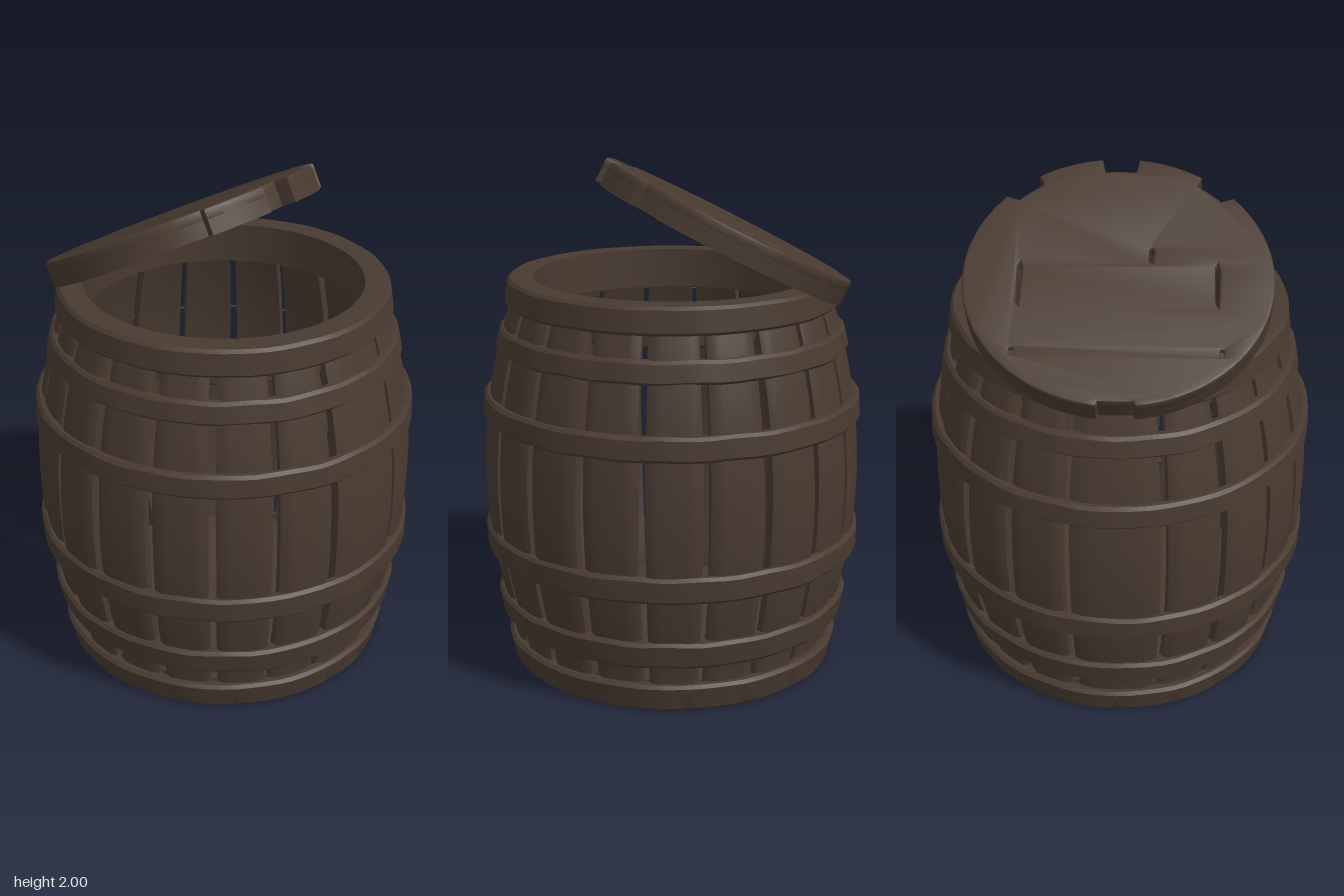
import * as THREE from 'three';
import { toCreasedNormals } from 'three/addons/utils/BufferGeometryUtils.js';

const rad = THREE.MathUtils.degToRad;
const wood = new THREE.MeshStandardMaterial({ color: 0x483a30 });
wood.name = 'dark weathered wood';

// bulging outer radius of the barrel wall at height y, straight near the floor
const wallRadius = (y) => Math.max(0.742 - 0.25 * (y - 0.78) ** 2, y < 0.2 ? 0.638 : 0);

function addMesh(parent, geometry, name) {
  const mesh = new THREE.Mesh(geometry, wood);
  mesh.name = name;
  parent.add(mesh);
  return mesh;
}

// one curved plank between two angles, with softened long edges
function staveGeometry(from, to, index) {
  const bottom = 0.008, top = 1.53, thick = 0.048;
  const g = new THREE.BoxGeometry(1, 1, 1, 8, 18, 1);
  const p = g.attributes.position;
  const bump = 0.003 * Math.sin(index * 2.7);
  for (let i = 0; i < p.count; i++) {
    const u = p.getX(i), y = bottom + (p.getY(i) + 0.5) * (top - bottom), w = p.getZ(i);
    const a = (from + to) / 2 + u * (to - from - rad(2.4 + 0.2 * Math.sin(y * 9 + index)));
    const edge = Math.abs(u) > 0.45 ? 0.012 : 0;
    const r = wallRadius(y) + bump - (w > 0 ? edge : thick);
    p.setXYZ(i, Math.sin(a) * r, y, Math.cos(a) * r);
  }
  g.computeVertexNormals();
  return g;
}

// bevelled band, slightly uneven as if hand cut; rims also get an inner wall
function hoopGeometry(y0, y1, r0, r1, inner, hasInnerWall, seed) {
  const b = 0.012;
  const profile = [[inner, y0], [r0 - b, y0], [r0, y0 + b], [r1, y1 - b], [r1 - b, y1], [inner, y1]];
  if (hasInnerWall) profile.push([inner, y0]);
  const g = new THREE.LatheGeometry(profile.map(([r, y]) => new THREE.Vector2(r, y)), 72);
  const p = g.attributes.position;
  for (let i = 0; i < p.count; i++) {
    const x = p.getX(i), y = p.getY(i), z = p.getZ(i), a = Math.atan2(x, z);
    const r = Math.hypot(x, z);
    if (r < inner + 0.005) continue;
    const n = Math.sin(a * 11 + seed) * 0.6 + Math.sin(a * 19 + seed * 3 + y * 40) * 0.4;
    const k = 1 + (0.003 * n) / r;
    const lift = hasInnerWall ? 0 : 0.002 * Math.sin(a * 17 + seed * 2);
    p.setXYZ(i, x * k, y + lift, z * k);
  }
  return toCreasedNormals(g, rad(30));
}

// narrow pointed hole
function slit(x, y, halfWidth, halfLength) {
  return new THREE.Path([
    [x - halfWidth * 0.4, y - halfLength], [x + halfWidth, y - halfLength * 0.8],
    [x + halfWidth, y + halfLength * 0.8], [x, y + halfLength], [x - halfWidth, y + halfLength * 0.7],
  ].map(([px, py]) => new THREE.Vector2(px, py)));
}

// extrude a plan shape (shape y becomes z) downwards from the given height
function slab(shape, depth, topY, bevel = 0) {
  const g = new THREE.ExtrudeGeometry(shape, {
    depth: depth - 2 * bevel, curveSegments: 48, bevelEnabled: bevel > 0,
    bevelSize: bevel, bevelThickness: bevel, bevelOffset: -bevel, bevelSegments: 2,
  });
  g.rotateX(Math.PI / 2).translate(0, topY - bevel, 0);
  return toCreasedNormals(g, rad(35));
}

// lid outline: oval with chipped notches along the front and one at the back
function lidOutline() {
  const spans = [
    [7, 32.5, 1], [33.5, 46, 0.92], [48, 173, 1], [173.5, 186.5, 0.965],
    [187, 312, 1], [314, 326.5, 0.92], [327.5, 353, 1], [353.5, 366.5, 0.89],
  ];
  const points = [];
  for (const [from, to, scale] of spans) {
    const steps = Math.ceil((to - from) / 4);
    for (let i = 0; i <= steps; i++) {
      const a = rad(from + ((to - from) * i) / steps);
      points.push(new THREE.Vector2(Math.sin(a) * 0.565 * scale, Math.cos(a) * 0.53 * scale));
    }
  }
  return new THREE.Shape(points);
}

export function createModel() {
  const model = new THREE.Group();
  model.name = 'openBarrel';

  // staves: one wide plank at front and back, eight narrow ones on each side
  const staves = new THREE.Group();
  staves.name = 'staves';
  model.add(staves);
  const seams = [];
  for (const half of [0, 180]) {
    for (let i = 0; i <= 8; i++) seams.push(rad(half + 14.6 + i * 18.85));
  }
  seams.forEach((from, i) => {
    const to = i + 1 < seams.length ? seams[i + 1] : seams[0] + Math.PI * 2;
    addMesh(staves, staveGeometry(from, to, i), 'stave');
  });

  // hoops: bottom, top, outer radii, inner radius, inner wall
  const hoops = [
    ['bottomRim', 0, 0.11, 0.648, 0.668, 0.628, true],
    ['lowerHoop', 0.19, 0.295, 0.688, 0.703, 0.65, false],
    ['lowerBellyHoop', 0.47, 0.572, 0.745, 0.748, 0.716, false],
    ['upperBellyHoop', 1.01, 1.105, 0.748, 0.742, 0.712, false],
    ['upperHoop', 1.28, 1.368, 0.69, 0.676, 0.645, false],
    ['topRim', 1.45, 1.555, 0.65, 0.64, 0.54, true],
    ['innerLip', 1.395, 1.5, 0.6, 0.6, 0.54, true],
  ];
  hoops.forEach(([name, ...size], i) => addMesh(model, hoopGeometry(...size, i * 1.7), name));

  // floor set up inside the bottom rim, with small worn holes
  const floor = new THREE.Shape().absarc(0, 0, 0.605, 0, Math.PI * 2);
  for (const side of [-1, 1]) {
    for (const [x, z, w, l] of [[0.12, 0.29, 0.01, 0.022], [0.345, 0.275, 0.009, 0.02], [0.115, 0.435, 0.006, 0.01]]) {
      floor.holes.push(slit(x * side, z, w, l), slit(x * side, -z, w, l));
    }
  }
  addMesh(model, slab(floor, 0.045, 0.105), 'floor');

  // lid resting on the back of the rim
  const lid = new THREE.Group();
  lid.name = 'lid';
  lid.position.set(0, 1.718, -0.205);
  lid.rotation.x = rad(-27);
  model.add(lid);

  const panel = lidOutline();
  for (const side of [-1, 1]) {
    panel.holes.push(slit(0.358 * side, -0.03, 0.008, 0.095), slit(0.372 * side, -0.31, 0.008, 0.012));
  }
  panel.holes.push(slit(-0.12, 0.095, 0.009, 0.032));
  addMesh(lid, slab(panel, 0.05, 0.05, 0.01), 'lidPanel');

  // raised border under the lid
  const border = lidOutline();
  border.holes.push(new THREE.Path().absellipse(0, 0, 0.49, 0.452, 0, Math.PI * 2));
  addMesh(lid, slab(border, 0.08, 0.03), 'lidBorder');

  return model;
}
